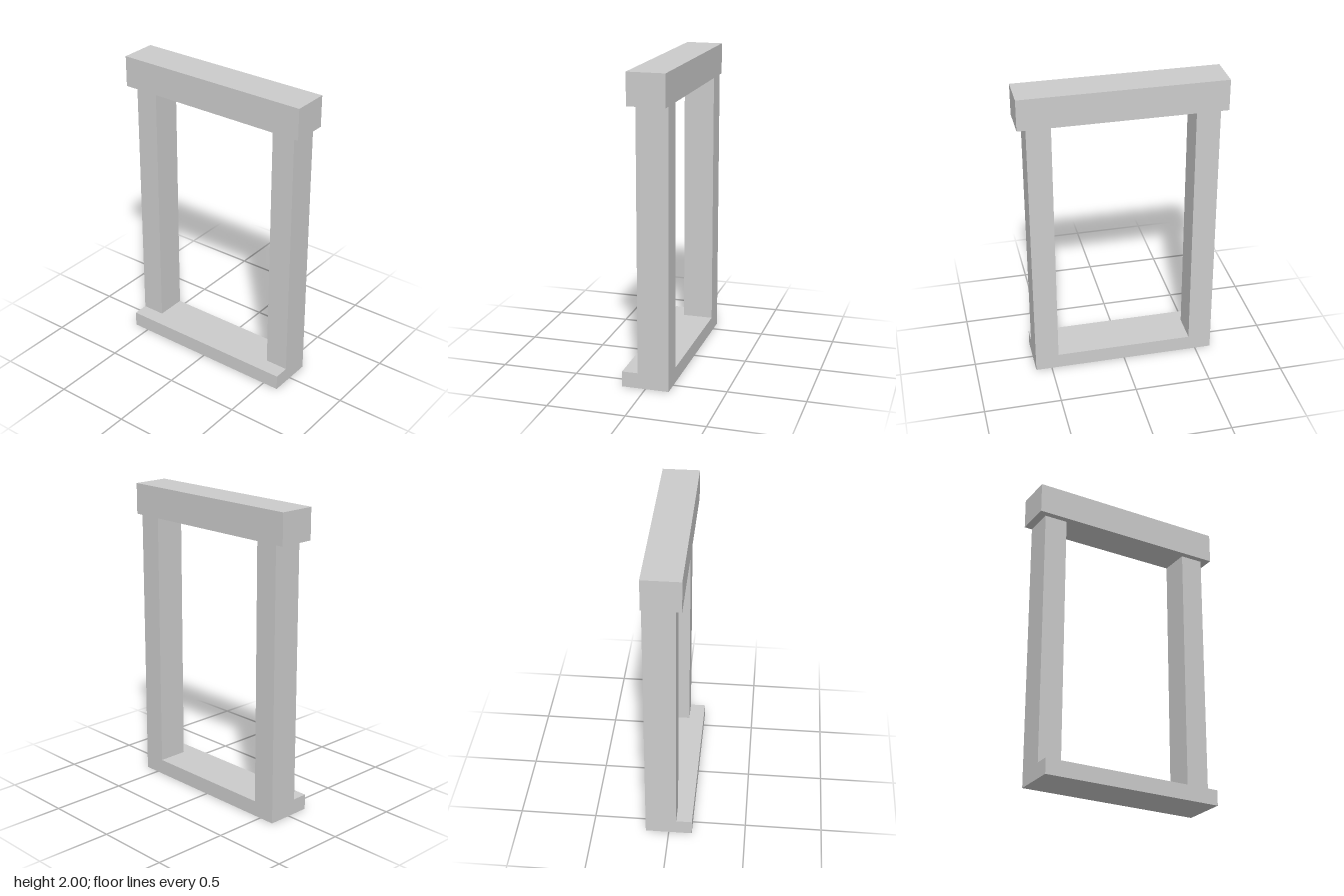
import * as THREE from 'three';

const BACK = -0.152; // every part is flush at the back

export function createModel() {
  const group = new THREE.Group();
  const material = new THREE.MeshStandardMaterial({ color: 0xcccccc, flatShading: true });

  // Block given by its x, y range and front z
  function block(name, x0, x1, y0, y1, front) {
    const geometry = new THREE.BoxGeometry(x1 - x0, y1 - y0, front - BACK);
    const mesh = new THREE.Mesh(geometry, material);
    mesh.position.set((x0 + x1) / 2, (y0 + y1) / 2, (front + BACK) / 2);
    mesh.name = name;
    group.add(mesh);
  }

  // Sill projects forward, lintel overhangs the front and both sides
  block('sill', -0.606, 0.606, 0, 0.101, 0.152);
  block('lintel', -0.659, 0.659, 1.797, 2, 0.089);

  // Side posts
  block('leftPost', 0.452, 0.606, 0.101, 1.797, 0.049);
  block('rightPost', -0.606, -0.452, 0.101, 1.797, 0.049);

  return group;
}
